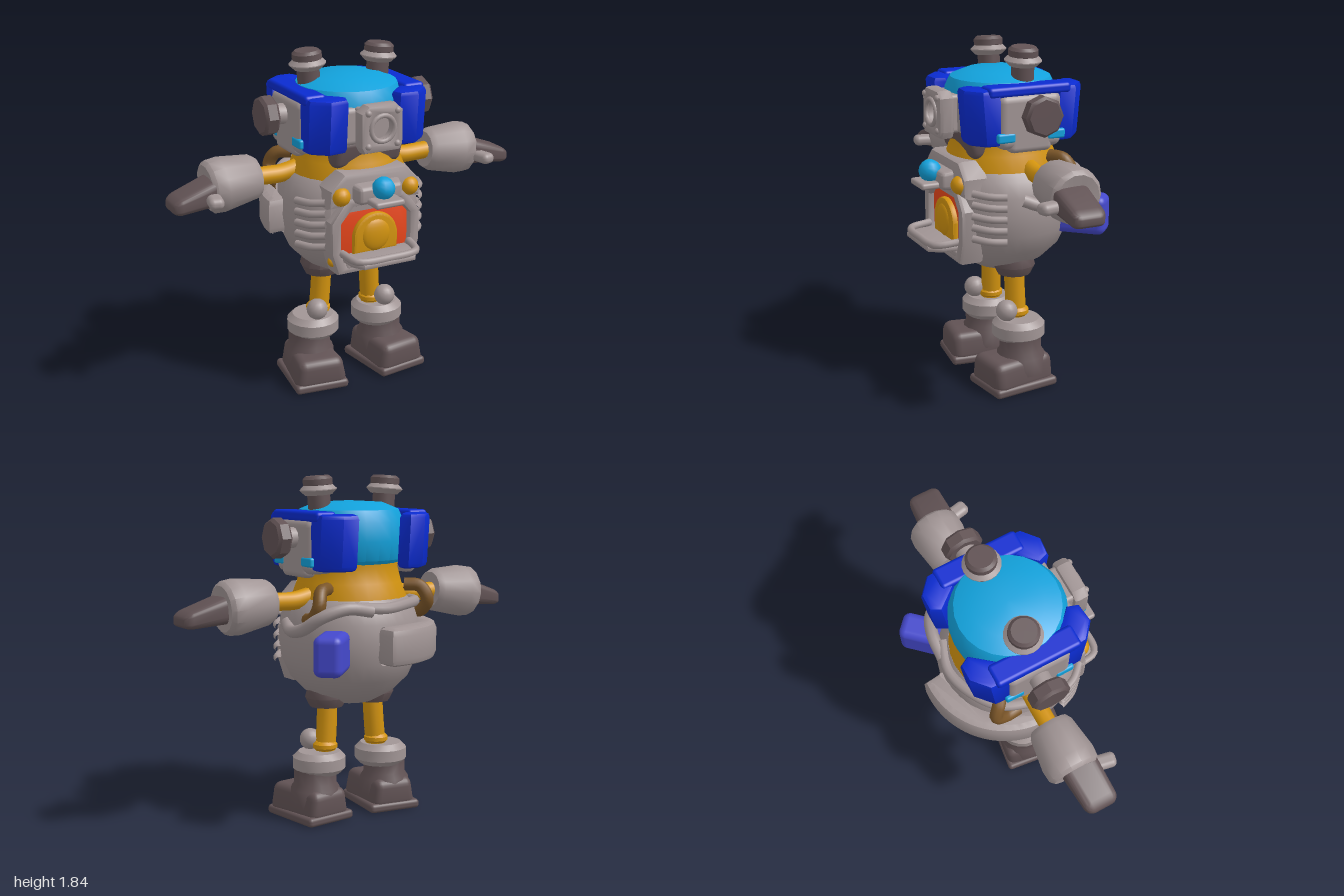
import * as THREE from 'three';
import { toCreasedNormals } from 'three/addons/utils/BufferGeometryUtils.js';
import { RoundedBoxGeometry } from 'three/addons/geometries/RoundedBoxGeometry.js';

const V = (x, y, z) => new THREE.Vector3(x, y, z);
const material = (name, color) => {
  const m = new THREE.MeshStandardMaterial({ color });
  m.name = name;
  return m;
};

// ---- geometry helpers: every geometry is baked into its final place ----
const box = (w, h, d, x, y, z, r = 0.03) => new RoundedBoxGeometry(w, h, d, 3, r).translate(x, y, z);
const ball = (r, x, y, z) => new THREE.SphereGeometry(r, 16, 12).translate(x, y, z);
const tube = (pts, r) => new THREE.TubeGeometry(new THREE.CatmullRomCurve3(pts.map(p => V(...p))), 24, r, 10);
const lathe = (pts, seg = 28) =>
  toCreasedNormals(new THREE.LatheGeometry(pts.map(p => new THREE.Vector2(...p)), seg), 0.7);
const drum = (r, h, bevel, seg = 20) => lathe([
  [0, -h / 2], [r - bevel, -h / 2], [r, -h / 2 + bevel], [r, h / 2 - bevel], [r - bevel, h / 2], [0, h / 2]], seg);
const extrude = (shape, depth, bevel) => toCreasedNormals(new THREE.ExtrudeGeometry(shape, {
  depth: depth - 2 * bevel, bevelSize: bevel, bevelThickness: bevel, bevelOffset: -bevel,
  bevelSegments: 2, curveSegments: 16 }).translate(0, 0, bevel), 0.6);
const polygon = pts => new THREE.Shape(pts.map(p => new THREE.Vector2(...p)));
// Stands an XY shape up so that its y becomes -z and its depth becomes y
const upright = (shape, y, height, bevel) => extrude(shape, height, bevel).rotateX(-Math.PI / 2).translate(0, y, 0);
const warp = (geo, rule) => {
  const p = geo.attributes.position, v = V(0, 0, 0);
  for (let i = 0; i < p.count; i++) {
    rule(v.fromBufferAttribute(p, i));
    p.setXYZ(i, v.x, v.y, v.z);
  }
  return toCreasedNormals(geo, 0.7);
};
// Mirrors in x and turns the corners round again
const mirror = geo => {
  const g = (geo.index ? geo.toNonIndexed() : geo.clone()).scale(-1, 1, 1);
  for (const a of Object.values(g.attributes)) {
    const n = a.itemSize;
    for (let i = 0; i < a.count; i += 3)
      for (let k = 0; k < n; k++) {
        const b = (i + 1) * n + k, c = (i + 2) * n + k;
        [a.array[b], a.array[c]] = [a.array[c], a.array[b]];
      }
  }
  return g;
};

export function createModel() {
  const model = new THREE.Group();
  model.name = 'robot';
  const grey = material('warm grey shell', 0xa19595);
  const dark = material('dark rubber', 0x625355);
  const yellow = material('ochre suit', 0xd2930f);
  const cyan = material('cyan dome', 0x12a2dc);
  const blue = material('deep blue panel', 0x0a2bd0);
  const violet = material('violet pouch', 0x4549cc);
  const red = material('furnace red', 0xe8461a);
  const brown = material('brown hose', 0x7a5528);

  const add = (name, geo, mat) => {
    const m = new THREE.Mesh(geo, mat);
    m.name = name;
    model.add(m);
  };
  const pair = (name, geo, mat) => {
    add(name + 'Left', geo, mat);
    add(name + 'Right', mirror(geo), mat);
  };

  // ---- body: round pot, flattened at the front ----
  add('body', warp(lathe([[0, 0.62], [0.13, 0.63], [0.24, 0.69], [0.32, 0.77], [0.365, 0.87], [0.38, 0.98],
    [0.37, 1.08], [0.345, 1.16], [0.31, 1.2], [0.26, 1.2], [0.2, 1.16]], 36), v => {
    v.z = Math.min(v.z, 0.29 + (v.y > 1 ? 0.02 : 0));
  }), grey);
  add('suitNeck', lathe([[0.31, 1.1], [0.31, 1.2], [0.28, 1.28], [0.26, 1.36], [0.27, 1.43]]), yellow);

  // ---- furnace mouth in the belly ----
  const arch = (w, y0, y1, k) => polygon([[-w * 0.85, y0], [w * 0.85, y0], [w, y0 + k], [w, y1 - k],
    [w * 0.65, y1], [-w * 0.65, y1], [-w, y1 - k], [-w, y0 + k]]);
  const rim = arch(0.26, 0.72, 1.13, 0.12);
  rim.holes.push(arch(0.2, 0.77, 1.08, 0.08));
  add('furnaceRim', extrude(rim, 0.14, 0.02).translate(0, 0, 0.2), grey);
  add('furnaceMouth', extrude(arch(0.21, 0.76, 1.09, 0.08), 0.008, 0.002).translate(0, 0, 0.295), red);
  const flame = new THREE.Shape();
  flame.moveTo(-0.13, 0.82);
  flame.lineTo(0.13, 0.82);
  flame.lineTo(0.13, 0.92);
  flame.absarc(0, 0.9, 0.13, 0.15, Math.PI - 0.15);
  flame.lineTo(-0.13, 0.82);
  add('furnaceGlow', extrude(flame, 0.04, 0.015).translate(0, 0, 0.295), yellow);
  add('furnaceCore', ball(1, 0, 0, 0).scale(0.085, 0.09, 0.03).translate(0, 0.91, 0.325), yellow);
  add('tray', upright(polygon([[-0.2, -0.28], [-0.19, -0.42], [-0.15, -0.485], [0.15, -0.485],
    [0.19, -0.42], [0.2, -0.28]]), 0.79, 0.03, 0.01), grey);
  add('trayBar', tube([[-0.2, 0.84, 0.33], [-0.17, 0.83, 0.45], [0, 0.825, 0.465], [0.17, 0.83, 0.45],
    [0.2, 0.84, 0.33]], 0.02), grey);
  add('trayLip', box(0.36, 0.05, 0.08, 0, 0.765, 0.3, 0.02), grey);

  // ---- chest plate with gem and buttons ----
  add('chestPlate', extrude(polygon([[-0.27, 1.08], [0.27, 1.08], [0.26, 1.18], [0.18, 1.26],
    [-0.18, 1.26], [-0.26, 1.18]]), 0.2, 0.03).translate(0, 0, 0.13), grey);
  add('chestBrow', warp(box(0.34, 0.13, 0.18, 0, 1.165, 0.3, 0.03), v => {
    if (v.z > 0.3) { v.x *= 0.75; v.y -= (v.y - 1.1) * 0.25; }
  }), grey);
  add('chestShelf', box(0.17, 0.035, 0.14, 0, 1.12, 0.415, 0.015), grey);
  add('chestGem', new THREE.SphereGeometry(0.06, 10, 8).translate(0, 1.185, 0.405), cyan);
  pair('chestButton', ball(0.05, 0.2, 1.145, 0.32), yellow);
  add('smallButton', ball(0.028, -0.23, 0.785, 0.285), yellow);

  // Side ribs
  for (let i = 0; i < 5; i++) {
    const y = 0.86 + i * 0.06;
    pair('rib' + i, tube([[0.265, y + 0.01, 0.28], [0.325, y, 0.215], [0.36, y - 0.005, 0.13]], 0.02), grey);
  }

  // ---- gear on the back ----
  const roll = new THREE.Shape();
  roll.absarc(0, 0.02, 0.46, 1.48, 3.2, false);
  roll.absarc(0, 0.02, 0.33, 3.2, 1.4, true);
  add('backRoll', upright(roll, 0.87, 0.2, 0.04), grey);
  add('backPouch', box(0.36, 0.21, 0.15, 0, 0, 0, 0.04).rotateY(0.82).translate(0.285, 0.95, -0.3), violet);
  add('carryLoop', tube([[0.08, 1.15, -0.34], [0.22, 1.17, -0.33], [0.34, 1.13, -0.28], [0.395, 1.06, -0.18],
    [0.39, 1.04, -0.05], [0.36, 1.07, 0.04]], 0.033), grey);
  add('backCollar', tube([[-0.35, 1.16, -0.05], [-0.29, 1.17, -0.2], [-0.16, 1.17, -0.3], [0, 1.16, -0.345],
    [0.16, 1.17, -0.3]], 0.03), grey);
  pair('shoulderHose', tube([[0.24, 1.26, -0.17], [0.31, 1.25, -0.22], [0.34, 1.18, -0.25],
    [0.34, 1.12, -0.2], [0.33, 1.1, -0.12]], 0.035), brown);

  // ---- head ----
  add('dome', lathe([[0.24, 1.36], [0.285, 1.4], [0.3, 1.5], [0.295, 1.6], [0.265, 1.66], [0.18, 1.695],
    [0, 1.705]], 24), cyan);
  add('jaw', warp(box(0.4, 0.16, 0.36, 0, 1.34, 0.1, 0.04), v => {
    if (v.y < 1.33) v.z -= 0.03;
  }), dark);
  add('facePlate', box(0.42, 0.2, 0.14, 0, 1.49, 0.22, 0.03), grey);

  // Blue corner guards, joined over the grey cheek by a top strip
  const corner = s => s > 0
    ? [[0.13, -0.25], [0.15, -0.31], [0.25, -0.32], [0.335, -0.25], [0.34, -0.16], [0.22, -0.16]]
    : [[0.13, 0.29], [0.22, 0.18], [0.34, 0.18], [0.335, 0.27], [0.25, 0.345], [0.16, 0.345]];
  for (const s of [1, -1]) {
    const name = s > 0 ? 'frontGuard' : 'rearGuard';
    pair(name, warp(upright(polygon(corner(s)), 1.355, 0.29, 0.025), v => {
      if (v.y < 1.45) v.z -= s * 0.02;
    }), blue);
    pair(name + 'Chip', box(0.03, 0.05, 0.1, 0.345, 1.4, s * 0.14 - 0.01, 0.012), cyan);
  }
  pair('topStrip', box(0.12, 0.055, 0.46, 0.285, 1.63, -0.01, 0.02), blue);
  pair('cheek', box(0.16, 0.28, 0.35, 0.275, 1.475, -0.01, 0.04), grey);
  pair('cheekFoot', box(0.08, 0.09, 0.24, 0.315, 1.36, -0.01, 0.03), grey);

  // Ears
  const sideways = (geo, x) => geo.rotateZ(-Math.PI / 2).translate(x, 1.52, -0.02);
  pair('earStem', sideways(drum(0.055, 0.1, 0.01, 12), 0.385), grey);
  pair('earDisc', sideways(drum(0.105, 0.08, 0.015, 8), 0.45), dark);

  // Eye camera
  const frame = arch(0.12, 1.37, 1.615, 0.035);
  const lens = new THREE.Path();
  lens.absarc(0, 1.495, 0.065, 0, Math.PI * 2, true);
  frame.holes.push(lens);
  add('cameraFrame', extrude(frame, 0.085, 0.02).translate(0, 0, 0.31), grey);
  add('cameraBack', box(0.2, 0.2, 0.08, 0, 1.493, 0.3, 0.02), grey);
  add('cameraRing', new THREE.TorusGeometry(0.067, 0.013, 8, 20).translate(0, 1.495, 0.393), grey);
  for (const y of [1.41, 1.58]) pair('cameraBolt', ball(0.018, 0.083, y, 0.39), grey);

  // Top knobs, leaning slightly outwards
  const knob = geo => geo.rotateZ(-0.08).translate(0.2, 1.66, -0.03);
  pair('knobStem', knob(drum(0.06, 0.18, 0.01).translate(0, 0.03, 0)), dark);
  pair('knobRing', knob(drum(0.097, 0.055, 0.025).translate(0, 0.105, 0)), grey);
  pair('knobCap', knob(drum(0.078, 0.06, 0.015).translate(0, 0.145, 0)), dark);

  // ---- arms ----
  pair('arm', tube([[0.24, 1.22, -0.04], [0.36, 1.195, -0.04], [0.46, 1.195, -0.04], [0.58, 1.2, -0.04]], 0.048), yellow);
  pair('cuff', lathe([[0.04, -0.13], [0.1, -0.14], [0.12, -0.11], [0.145, 0.06], [0.14, 0.12], [0.12, 0.14],
    [0.04, 0.13]], 14).rotateZ(-Math.PI / 2 - 0.08).translate(0.645, 1.19, -0.04), grey);
  pair('hand', warp(box(0.3, 0.15, 0.2, 0.85, 0, 0, 0.045), v => {
    const t = (v.x - 0.7) / 0.3;
    v.y = v.y * (1 - 0.55 * t * t) + 1.19 - 0.065 * t;
    v.z = v.z * (1 - 0.12 * t) - 0.015 + 0.02 * t;
  }), dark);
  pair('thumb', box(0.08, 0.06, 0.16, 0, 0, 0, 0.028).rotateY(0.2).translate(0.795, 1.155, 0.1), grey);

  // ---- legs ----
  pair('hipCuff', lathe([[0.05, 0.61], [0.09, 0.61], [0.115, 0.66], [0.1, 0.72]], 12).translate(0.15, 0, -0.01), dark);
  pair('leg', tube([[0.145, 0.7, -0.01], [0.15, 0.55, -0.015], [0.165, 0.34, -0.02]], 0.055), yellow);
  pair('legBand', drum(0.066, 0.05, 0.015).translate(0.165, 0.395, -0.02), yellow);
  pair('ankleCuff', drum(0.143, 0.12, 0.03).translate(0.2, 0.31, -0.015), grey);
  pair('kneeBall', ball(0.058, 0.21, 0.42, 0.06), grey);
  const boot = geo => geo.rotateY(0.13).translate(0.225, 0, -0.015);
  pair('bootShaft', boot(lathe([[0.14, 0.08], [0.135, 0.17], [0.115, 0.2], [0.115, 0.28]], 16)), dark);
  pair('bootFoot', boot(warp(box(0.29, 0.17, 0.37, 0, 0.095, 0.045, 0.05), v => {
    if (v.y > 0.1) v.x *= 0.9;
    if (v.z < 0) v.x *= 0.88;
  })), dark);
  pair('bootSole', boot(box(0.3, 0.05, 0.385, 0, 0.025, 0.045, 0.02)), dark);

  return model;
}
